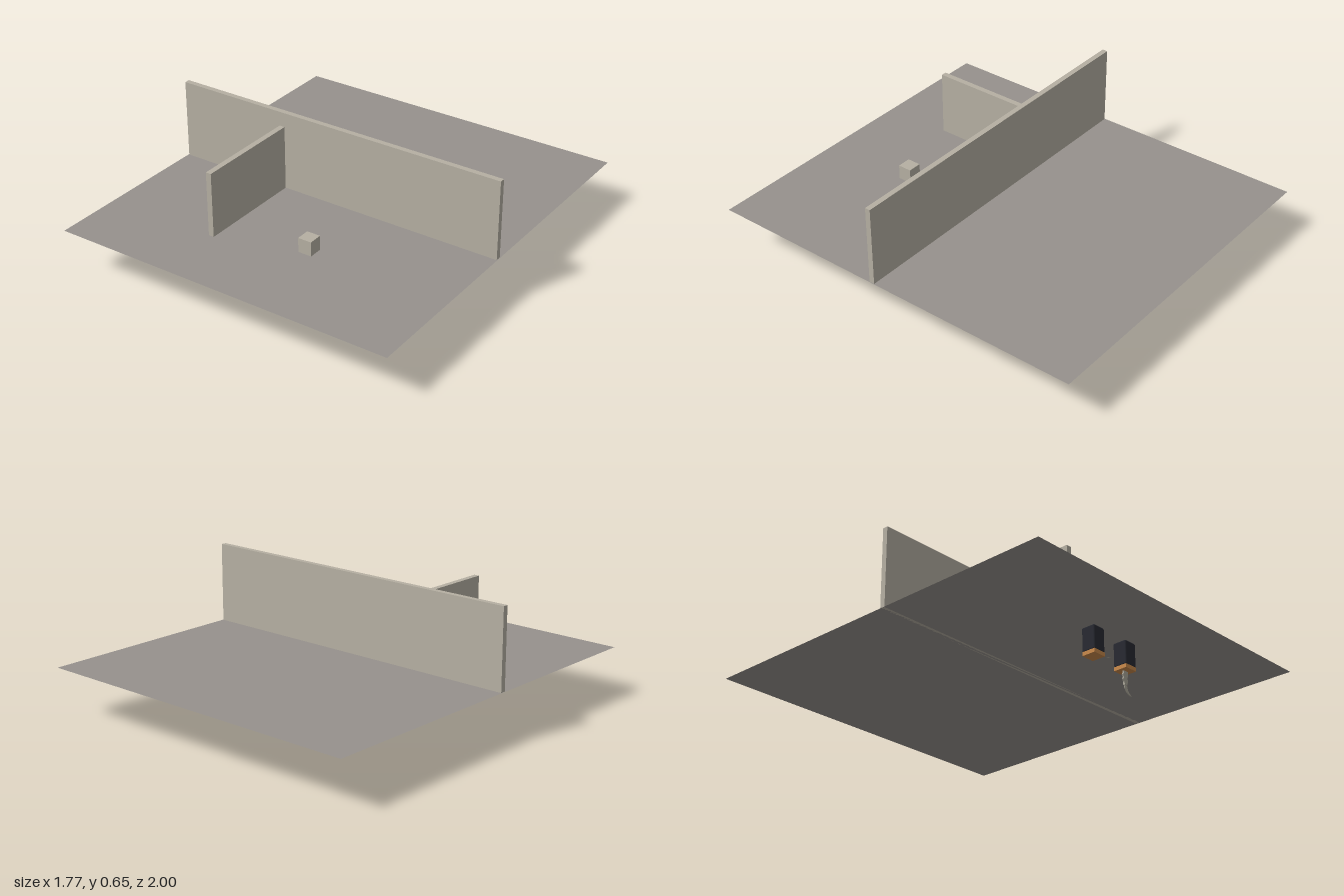
import * as THREE from 'three';
import { RoundedBoxGeometry } from 'three/addons/geometries/RoundedBoxGeometry.js';

const material = (name, color, extra = {}) => {
  const m = new THREE.MeshStandardMaterial({ color, ...extra });
  m.name = name;
  return m;
};

export function createModel() {
  const model = new THREE.Group();
  const stone = material('pale stone', 0xb5afa2);
  const ground = material('grey floor', 0x96918d, { side: THREE.DoubleSide });
  const cloth = material('dark cloth', 0x282a32);
  const skin = material('tan skin', 0xca8a4c);
  const bone = material('grey blade', 0xaaa699);

  const add = (name, geometry, mat, parent = model) => {
    const mesh = new THREE.Mesh(geometry, mat);
    mesh.name = name;
    parent.add(mesh);
    return mesh;
  };
  // Box given by its lower and upper limits on each axis
  const block = (name, [x0, x1], [y0, y1], [z0, z1], mat, parent) => {
    const box = new THREE.BoxGeometry(x1 - x0, y1 - y0, z1 - z0);
    add(name, box, mat, parent).position.set((x0 + x1) / 2, (y0 + y1) / 2, (z0 + z1) / 2);
  };

  // Floor sheet and the walls standing on it
  const floorY = 0.254;
  const floor = add('floor', new THREE.PlaneGeometry(1.766, 2), ground);
  floor.rotation.x = -Math.PI / 2;
  floor.position.y = floorY;
  block('longWall', [-0.88, 0.88], [floorY, 0.654], [0.075, 0.102], stone);
  block('shortWall', [-0.311, -0.283], [floorY, 0.581], [0.102, 0.656], stone);
  block('cube', [0.111, 0.181], [floorY, 0.327], [0.473, 0.543], stone);

  // Two forearms hanging below the floor
  const armZ = 0.628;
  for (const [name, x] of [['rightArm', -0.111], ['leftArm', 0.107]]) {
    const arm = new THREE.Group();
    arm.name = name;
    arm.position.set(x, 0, armZ);
    const sleeve = new RoundedBoxGeometry(0.072, 0.12, 0.072, 2, 0.007);
    add('sleeve', sleeve, cloth, arm).position.y = 0.19;
    block('hand', [-0.035, 0.035], [0.113, 0.132], [-0.035, 0.035], skin, arm);
    model.add(arm);
  }

  // Curved dagger: notched grip, then a thin blade sweeping to a point
  const dagger = new THREE.Group();
  dagger.name = 'dagger';
  dagger.position.z = armZ;
  model.add(dagger);
  const plate = (name, points, depth) => {
    const shape = new THREE.Shape(points.map(([x, y]) => new THREE.Vector2(x, y)));
    const g = new THREE.ExtrudeGeometry(shape, { depth, bevelEnabled: false });
    add(name, g.translate(0, 0, -depth / 2), bone, dagger);
  };
  plate('grip', [
    [0.092, 0.125], [0.094, 0.105], [0.087, 0.095], [0.093, 0.083], [0.088, 0.072],
    [0.096, 0.06], [0.096, 0.045], [0.113, 0.045], [0.12, 0.062], [0.117, 0.08],
    [0.122, 0.095], [0.12, 0.125],
  ], 0.009);
  plate('blade', [
    [0.096, 0.047], [0.101, 0.027], [0.112, 0.012], [0.128, 0.003], [0.145, 0],
    [0.132, 0.011], [0.121, 0.024], [0.115, 0.047],
  ], 0.004);

  return model;
}
